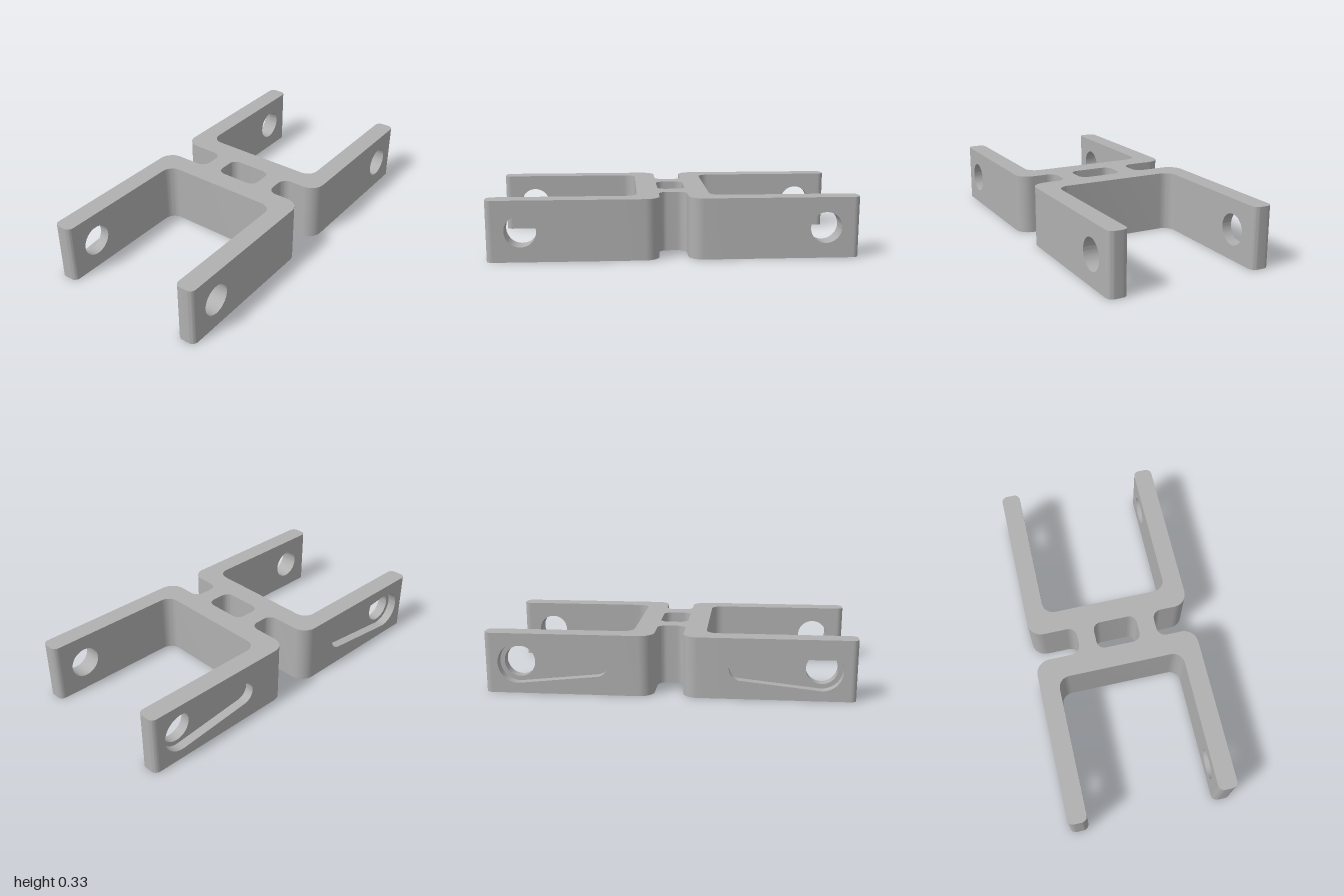
import * as THREE from 'three';
import { toCreasedNormals } from 'three/addons/utils/BufferGeometryUtils.js';

const H = 0.333;               // height of the bracket
const OUT = 0.463, IN = 0.357; // outer and inner z of the arms
const SEAM = 0.3, TIP = 0.965; // x range of the flat arm plates
const POCKET = 0.05;           // depth of the recess in the rear arms
const HOLE_X = 0.817, HOLE_R = 0.085;

// Closed path through [x, y, radius] corners (right angles), rounded where radius > 0
function rounded(corners, path = new THREE.Shape()) {
  const n = corners.length, K = 0.5523;
  corners.forEach(([x, y, r = 0], i) => {
    const p = new THREE.Vector2(x, y);
    const toward = (c, d) => new THREE.Vector2(c[0], c[1]).sub(p).setLength(d).add(p);
    const prev = corners[(i + n - 1) % n], next = corners[(i + 1) % n];
    const a = toward(prev, r), b = toward(next, r);
    if (i === 0) path.moveTo(a.x, a.y); else path.lineTo(a.x, a.y);
    if (r > 0) {
      const c1 = toward(prev, r * (1 - K)), c2 = toward(next, r * (1 - K));
      path.bezierCurveTo(c1.x, c1.y, c2.x, c2.y, b.x, b.y);
    }
  });
  path.closePath();
  return path;
}

function extrude(shape, depth, curveSegments) {
  const g = new THREE.ExtrudeGeometry(shape, { depth, bevelEnabled: false, curveSegments });
  return toCreasedNormals(g, Math.PI / 6);
}

// Plan outline (x, -z) extruded upward, centred on y = 0
function upright(shape) {
  return extrude(shape, H, 10).rotateX(-Math.PI / 2).translate(0, -H / 2, 0);
}

// Flat arm plate with an opening, running from z0 to z1
function plate(opening, z0, z1) {
  const s = rounded([[SEAM, -H / 2], [TIP, -H / 2], [TIP, H / 2], [SEAM, H / 2]]);
  s.holes.push(opening);
  return extrude(s, z1 - z0, 40).translate(0, 0, z0);
}

function roundHole() {
  return new THREE.Path().absarc(HOLE_X, 0, HOLE_R, 0, Math.PI * 2);
}

// Tapered slot: big circle around the hole, small circle toward the middle
function taperedSlot() {
  const R = 0.11, r = 0.065, x2 = 0.39;
  const t = Math.PI - Math.acos((R - r) / (HOLE_X - x2));
  const p = new THREE.Path();
  p.absarc(HOLE_X, 0, R, -t, t);
  p.absarc(x2, 0, r, t, Math.PI * 2 - t);
  p.closePath();
  return p;
}

export function createModel() {
  const grey = new THREE.MeshStandardMaterial({ color: 0xb0b0b0 });
  grey.name = 'grey metal';
  const model = new THREE.Group();
  model.name = 'doubleClevisBracket';
  model.position.y = H / 2;
  const add = (name, geometry, turn = 0) => {
    const mesh = new THREE.Mesh(geometry, grey);
    mesh.name = name;
    mesh.rotation.z = turn;
    model.add(mesh);
  };

  // Central body: two walls, notches front and back, arm roots
  const G = 0.078, W = 0.198;
  const right = [
    [G, -0.25, 0.05], [G, -OUT, 0.08], [SEAM, -OUT], [SEAM, -IN],
    [W, -IN, 0.065], [W, IN, 0.065], [SEAM, IN], [SEAM, OUT],
    [G, OUT, 0.08], [G, 0.2, 0.05],
  ];
  const left = right.map(([x, y, r]) => [-x, y, r]).reverse();
  const body = rounded([...right, ...left]);
  body.holes.push(rounded(
    [[-G, -0.15, 0.045], [-G, 0.1, 0.045], [G, 0.1, 0.045], [G, -0.15, 0.045]],
    new THREE.Path()));
  add('centralBody', upright(body));

  // Arms: a half turn about z makes the opposite side
  const frontPlate = plate(roundHole(), IN, OUT);
  const rearFloor = plate(roundHole(), -OUT + POCKET, -IN);
  const rearRim = plate(taperedSlot(), -OUT, -OUT + POCKET);
  const tip = (a, b) => upright(rounded([[TIP, a], [1, a, 0.033], [1, b, 0.033], [TIP, b]]));
  const frontTip = tip(-OUT, -IN), rearTip = tip(IN, OUT);
  for (const [side, turn] of [['left', 0], ['right', Math.PI]]) {
    add(side + 'FrontArm', frontPlate, turn);
    add(side + 'FrontArmTip', frontTip, turn);
    add(side + 'RearArmInner', rearFloor, turn);
    add(side + 'RearArmPocketRim', rearRim, turn);
    add(side + 'RearArmTip', rearTip, turn);
  }

  const root = new THREE.Group();
  root.name = 'bracket';
  root.add(model);
  return root;
}
